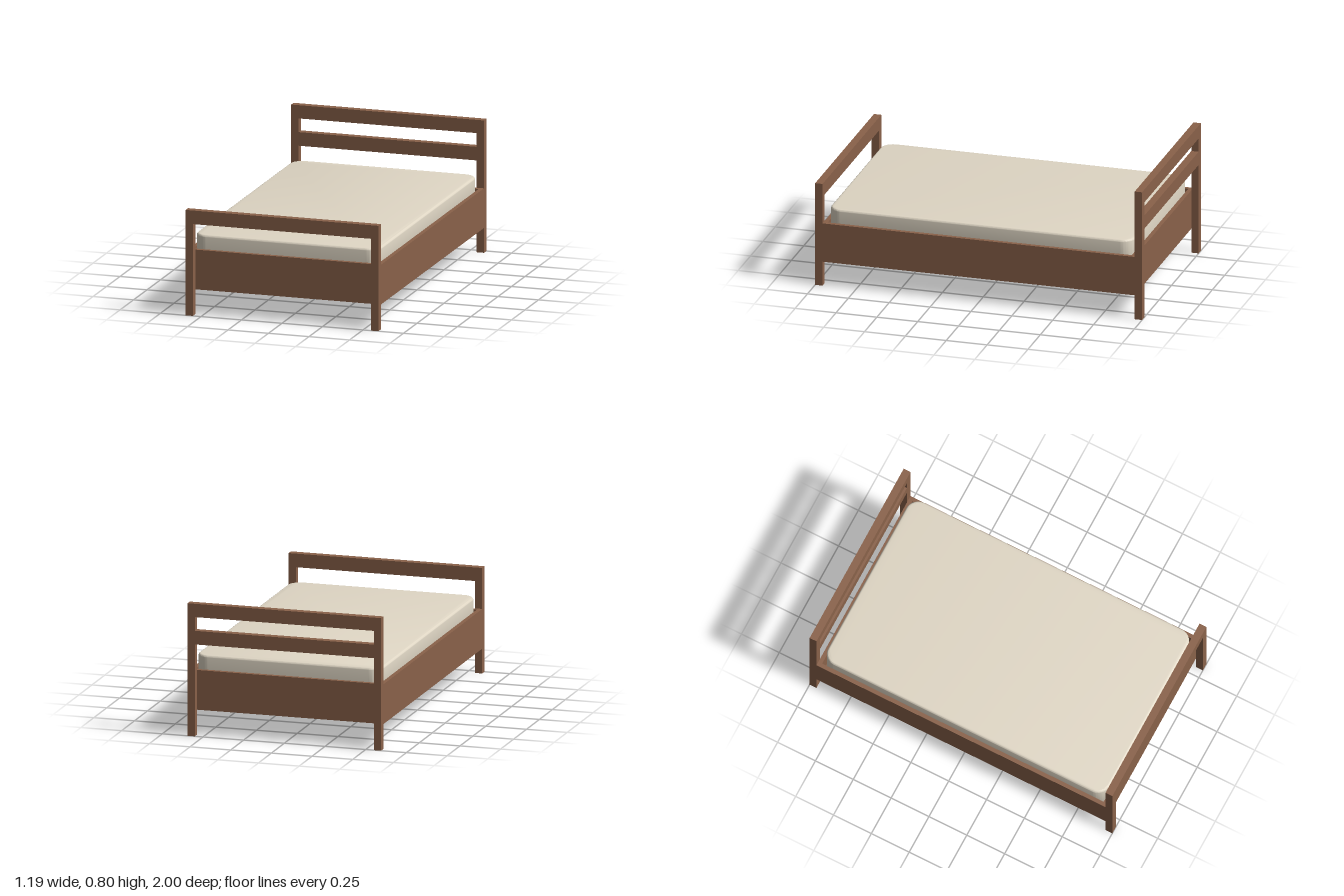
import * as THREE from 'three';
import { toCreasedNormals } from 'three/addons/utils/BufferGeometryUtils.js';

const W = 0.595;      // half width of the frame
const L = 1;          // half length of the frame
const POST = 0.045;   // post section
const BOARD = 0.025;  // side and end board thickness
const LOW = 0.15, HIGH = 0.39; // bottom and top of the boards

export function createModel() {
  const wood = new THREE.MeshStandardMaterial({ color: 0x8a624a });
  wood.name = 'brown wood';
  const fabric = new THREE.MeshStandardMaterial({ color: 0xe0d7c5 });
  fabric.name = 'cream fabric';

  const bed = new THREE.Group();
  bed.name = 'bed';

  // box given by its lower and upper limits on each axis
  function block(parent, name, x0, x1, y0, y1, z0, z1) {
    const mesh = new THREE.Mesh(new THREE.BoxGeometry(x1 - x0, y1 - y0, z1 - z0), wood);
    mesh.position.set((x0 + x1) / 2, (y0 + y1) / 2, (z0 + z1) / 2);
    mesh.name = name;
    parent.add(mesh);
  }

  // headboard or footboard: two posts, cross rails and a recessed end board
  function endFrame(name, side, height, rails) {
    const frame = new THREE.Group();
    frame.name = name;
    const z0 = side > 0 ? L - POST : -L;
    const z1 = z0 + POST;
    block(frame, 'leftPost', W - POST, W, 0, height, z0, z1);
    block(frame, 'rightPost', -W, -W + POST, 0, height, z0, z1);
    for (const [y0, y1] of rails) block(frame, 'crossRail', -W + POST, W - POST, y0, y1, z0, z1);
    const b0 = side > 0 ? L - POST - BOARD : -L + POST;
    block(frame, 'endBoard', -W + BOARD, W - BOARD, LOW, HIGH, b0, b0 + BOARD);
    bed.add(frame);
  }
  endFrame('headboard', -1, 0.8, [[0.72, 0.8], [0.555, 0.637]]);
  endFrame('footboard', 1, 0.637, [[0.555, 0.637]]);

  // long side boards, flush with the outside of the posts
  block(bed, 'leftSideBoard', W - BOARD, W, LOW, HIGH, -L + POST, L - POST);
  block(bed, 'rightSideBoard', -W, -W + BOARD, LOW, HIGH, -L + POST, L - POST);

  // seven slats with gaps as wide as the slats
  const inX = W - BOARD, inZ = L - POST - BOARD;
  const step = (2 * inZ) / 13;
  for (let i = 0; i < 7; i++) {
    const z = -inZ + i * 2 * step;
    block(bed, 'slat', -inX, inX, 0.215, 0.24, z, z + step);
  }

  // mattress: rounded rectangle with softened top and bottom edges
  const bevel = 0.014, bottom = 0.24, top = 0.476;
  const mx = inX - bevel, mz = inZ - bevel, r = 0.065;
  const outline = new THREE.Shape();
  outline.absarc(mx - r, mz - r, r, 0, Math.PI / 2);
  outline.absarc(-mx + r, mz - r, r, Math.PI / 2, Math.PI);
  outline.absarc(-mx + r, -mz + r, r, Math.PI, Math.PI * 1.5);
  outline.absarc(mx - r, -mz + r, r, Math.PI * 1.5, Math.PI * 2);
  const padding = new THREE.ExtrudeGeometry(outline, {
    depth: top - bottom - 2 * bevel, curveSegments: 10,
    bevelEnabled: true, bevelThickness: bevel, bevelSize: bevel, bevelSegments: 4,
  });
  padding.rotateX(-Math.PI / 2);
  const mattress = new THREE.Mesh(toCreasedNormals(padding, 0.7), fabric);
  mattress.position.y = bottom + bevel;
  mattress.name = 'mattress';
  bed.add(mattress);

  return bed;
}
